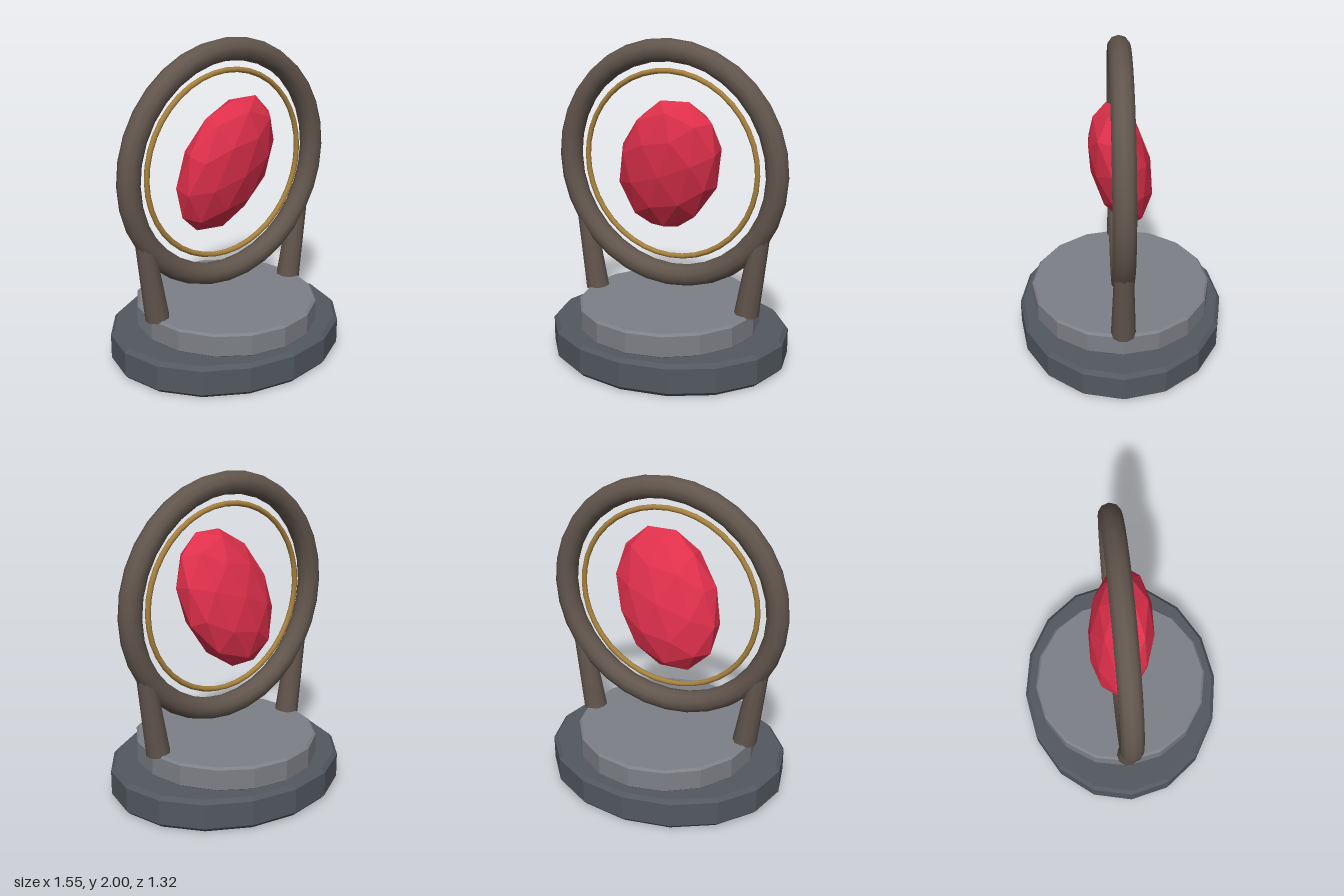
import * as THREE from 'three';

const mat = (color, flatShading = false) => new THREE.MeshStandardMaterial({ color, flatShading });

function addMesh(parent, name, geometry, material) {
  const mesh = new THREE.Mesh(geometry, material);
  mesh.name = name;
  parent.add(mesh);
  return mesh;
}

// Sixteen-sided slab with chamfered rims
function slab(radius, y0, y1, bevel) {
  const profile = [
    [0, y0], [radius - bevel, y0], [radius, y0 + bevel],
    [radius, y1 - bevel], [radius - bevel, y1], [0, y1],
  ].map(([x, y]) => new THREE.Vector2(x, y));
  return new THREE.LatheGeometry(profile, 16);
}

export function createModel() {
  const model = new THREE.Group();
  model.name = 'gemPortal';
  const frameMat = mat(0x62564d);
  const centreY = 1.225;

  // Stepped pedestal; the lower slab is slightly oval
  const base = addMesh(model, 'lowerBase', slab(0.77, 0.005, 0.21, 0.025), mat(0x535961, true));
  base.scale.z = 0.855;
  addMesh(model, 'upperBase', slab(0.575, 0.2, 0.355, 0.014), mat(0x7d8087, true));

  // Thick outer ring and thin inner ring
  const ring = addMesh(model, 'outerRing', new THREE.TorusGeometry(0.705, 0.07, 10, 32), frameMat);
  ring.position.y = centreY;
  const trim = addMesh(model, 'innerRing', new THREE.TorusGeometry(0.58, 0.017, 8, 40), mat(0xa8823f));
  trim.position.y = centreY;

  // Tapered legs leaning out to meet the ring
  for (const side of [1, -1]) {
    const foot = new THREE.Vector3(0.53 * side, 0.347, 0);
    const top = new THREE.Vector3(0.606 * side, 0.843, 0);
    const axis = top.clone().sub(foot);
    const leg = addMesh(model, side > 0 ? 'leftLeg' : 'rightLeg',
      new THREE.CylinderGeometry(0.058, 0.076, axis.length(), 10), frameMat);
    leg.position.copy(foot).add(top).multiplyScalar(0.5);
    leg.quaternion.setFromUnitVectors(new THREE.Vector3(0, 1, 0), axis.normalize());
  }

  // Faceted gem, flattened and tilted
  const gem = addMesh(model, 'gem', new THREE.IcosahedronGeometry(1, 1), mat(0xe0304c, true));
  gem.scale.set(0.325, 0.457, 0.185);
  gem.rotation.set(0.2, 0.06, -0.377);
  gem.position.y = centreY;

  return model;
}
